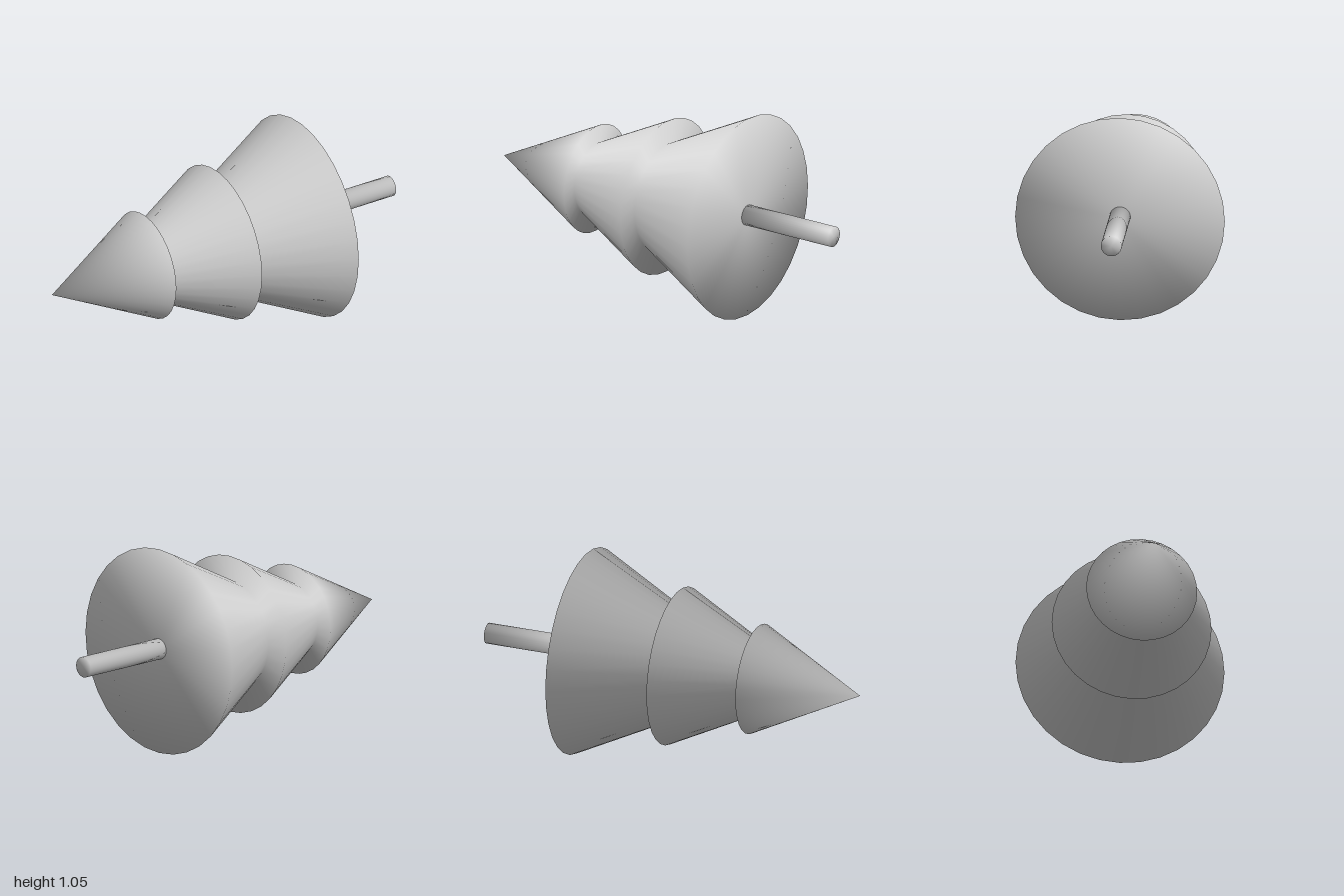
import * as THREE from 'three';

const SIDES = 32;
const material = new THREE.MeshStandardMaterial({ color: 0xcccccc });

// Solid of revolution along x from [x, radius] pairs, shaded softly over its rims:
// each normal is the mean of the two neighbouring profile faces.
function turned(name, profile, y) {
  const points = profile.map(([x, r]) => new THREE.Vector2(r, x));
  const geometry = new THREE.LatheGeometry(points, SIDES);
  const faceNormals = points.slice(1).map((p, i) => {
    const d = p.clone().sub(points[i]).normalize();
    return new THREE.Vector2(d.y, -d.x);
  });
  const normals = points.map((p, i) => {
    const n = new THREE.Vector2();
    if (i > 0) n.add(faceNormals[i - 1]);
    if (i < faceNormals.length) n.add(faceNormals[i]);
    if (p.x === 0) n.x = 0; // points on the axis look straight along it
    return n.normalize();
  });
  for (let s = 0; s <= SIDES; s++) {
    const a = (s / SIDES) * Math.PI * 2;
    normals.forEach((n, i) => geometry.attributes.normal.setXYZ(
      s * points.length + i, n.x * Math.sin(a), n.y, n.x * Math.cos(a)));
  }
  geometry.rotateZ(-Math.PI / 2);
  const mesh = new THREE.Mesh(geometry, material);
  mesh.name = name;
  mesh.position.y = y;
  return mesh;
}

export function createModel() {
  const tree = new THREE.Group();
  tree.name = 'lyingTree';

  // Three stepped tiers of foliage, tip towards -x, closed by a flat base
  tree.add(turned('foliage', [
    [-1, 0],
    [-0.443, 0.278], [-0.443, 0.187],
    [-0.015, 0.4], [-0.015, 0.278],
    [0.477, 0.523], [0.477, 0],
  ], 0.526));

  // Thin trunk, set slightly above the foliage axis
  tree.add(turned('trunk', [
    [0.47, 0], [0.47, 0.052],
    [1, 0.052], [1, 0],
  ], 0.537));

  return tree;
}
